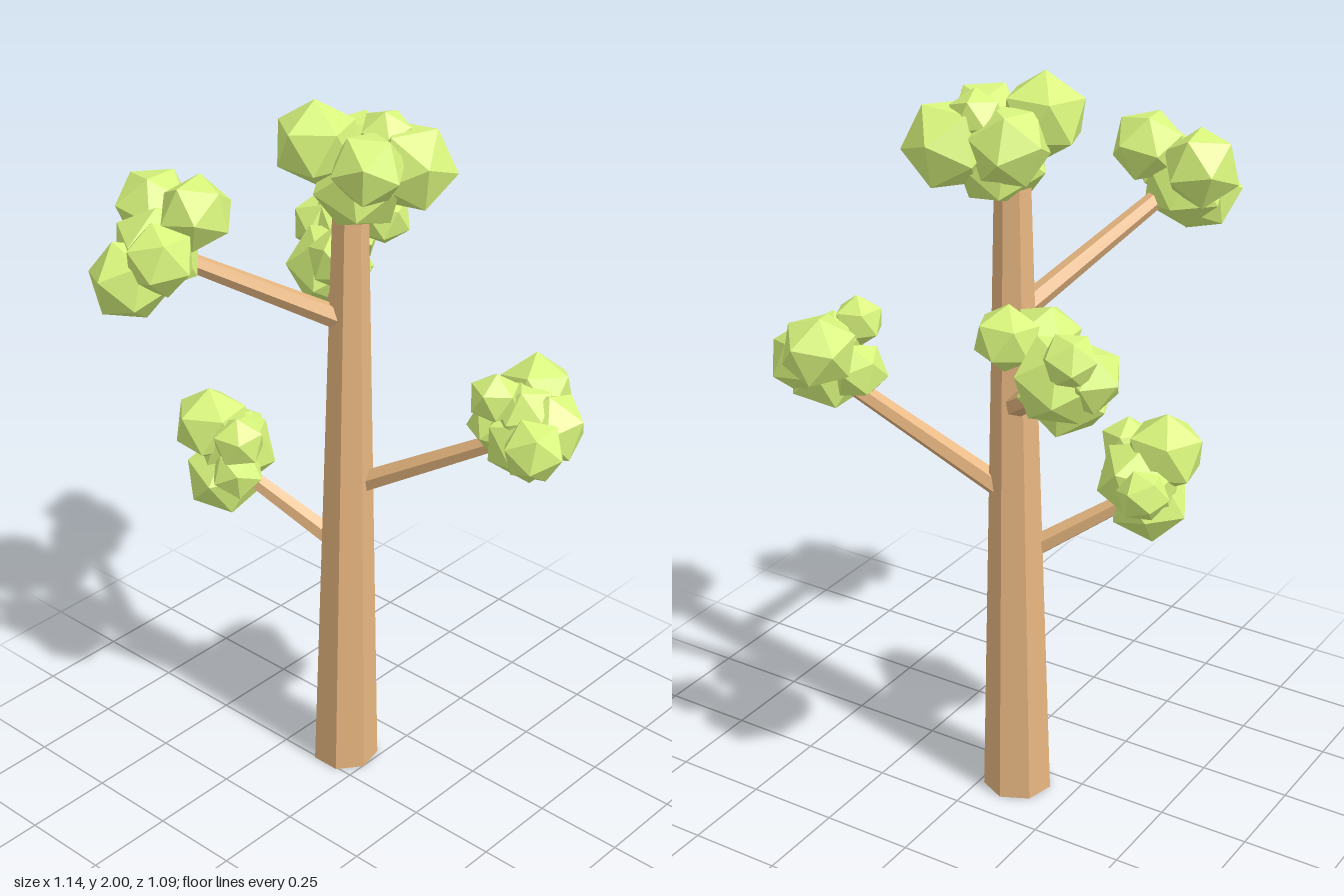
import * as THREE from 'three';

const bark = new THREE.MeshStandardMaterial({ color: 0xe6b680, flatShading: true });
const leaf = new THREE.MeshStandardMaterial({ color: 0xd8f57c, flatShading: true });

// Tapered, faceted limb running from point a to point b
function limb(name, a, b, r0, r1, sides) {
  const from = new THREE.Vector3(...a);
  const dir = new THREE.Vector3(...b).sub(from);
  const mesh = new THREE.Mesh(new THREE.CylinderGeometry(r1, r0, dir.length(), sides), bark);
  mesh.position.copy(from).addScaledVector(dir, 0.5);
  mesh.quaternion.setFromUnitVectors(new THREE.Vector3(0, 1, 0), dir.normalize());
  mesh.name = name;
  return mesh;
}

// Clump of low-poly leaf balls, each given as [x, y, z, radius]
function clump(name, balls) {
  const group = new THREE.Group();
  group.name = name;
  balls.forEach(([x, y, z, r], i) => {
    const ball = new THREE.Mesh(new THREE.IcosahedronGeometry(r * 1.07, 0), leaf);
    ball.position.set(x, y, z);
    ball.rotation.set(i * 1.3 + x * 9, i * 2.1 + z * 7, i * 0.7 + y * 5);
    ball.name = 'leafBall';
    group.add(ball);
  });
  return group;
}

const boughs = [
  { // low on the right side
    name: 'lowRight', from: [-0.1, 0.72, -0.06], to: [-0.37, 0.91, 0.06],
    balls: [[-0.425, 1.03, 0.09, 0.1], [-0.375, 0.96, 0.05, 0.108], [-0.31, 1.02, 0.1, 0.07],
      [-0.385, 0.885, 0.085, 0.103], [-0.31, 0.93, 0.11, 0.07], [-0.43, 0.96, -0.035, 0.065]],
  },
  { // left side
    name: 'left', from: [-0.05, 0.91, -0.1], to: [0.42, 1.19, -0.22],
    balls: [[0.385, 1.265, -0.285, 0.097], [0.46, 1.21, -0.24, 0.095], [0.485, 1.19, -0.145, 0.08],
      [0.365, 1.3, -0.135, 0.065], [0.325, 1.19, -0.2, 0.075], [0.42, 1.175, -0.2, 0.107],
      [0.41, 1.25, -0.2, 0.08]],
  },
  { // back right
    name: 'backRight', from: [-0.1, 1.16, -0.11], to: [-0.38, 1.37, -0.35],
    balls: [[-0.42, 1.43, -0.445, 0.105], [-0.485, 1.44, -0.42, 0.08], [-0.285, 1.505, -0.45, 0.077],
      [-0.28, 1.44, -0.27, 0.085], [-0.385, 1.365, -0.345, 0.115], [-0.47, 1.5, -0.48, 0.065]],
  },
  { // high at the front
    name: 'highFront', from: [-0.085, 1.4, -0.06], to: [-0.3, 1.66, 0.35],
    balls: [[-0.4, 1.73, 0.28, 0.097], [-0.24, 1.76, 0.29, 0.09], [-0.32, 1.61, 0.445, 0.1],
      [-0.235, 1.68, 0.42, 0.087], [-0.32, 1.66, 0.35, 0.11]],
  },
];

export function createModel() {
  const tree = new THREE.Group();
  tree.name = 'tree';

  // Trunk, leaning very slightly, flat on the ground
  const trunk = new THREE.Mesh(new THREE.CylinderGeometry(0.046, 0.094, 1.77, 7), bark);
  trunk.geometry.translate(0, 0.885, 0).rotateY(Math.PI);
  const shear = new THREE.Matrix4().set(1, 0.011, 0, 0, 0, 1, 0, 0, 0, 0, 1, 0, 0, 0, 0, 1);
  trunk.geometry.applyMatrix4(shear);
  trunk.position.set(-0.089, 0, -0.078);
  trunk.name = 'trunk';
  tree.add(trunk);

  // Branches with their foliage
  for (const { name, from, to, balls } of boughs) {
    tree.add(limb(name + 'Branch', from, to, 0.031, 0.023, 6), clump(name + 'Foliage', balls));
  }

  // Crown on top of the trunk
  tree.add(clump('crown', [[-0.11, 1.89, 0, 0.105], [0.065, 1.83, -0.155, 0.11],
    [0.05, 1.86, -0.01, 0.092], [-0.085, 1.84, -0.12, 0.1], [0, 1.9, -0.13, 0.068],
    [-0.03, 1.785, -0.07, 0.118]]));
  return tree;
}
